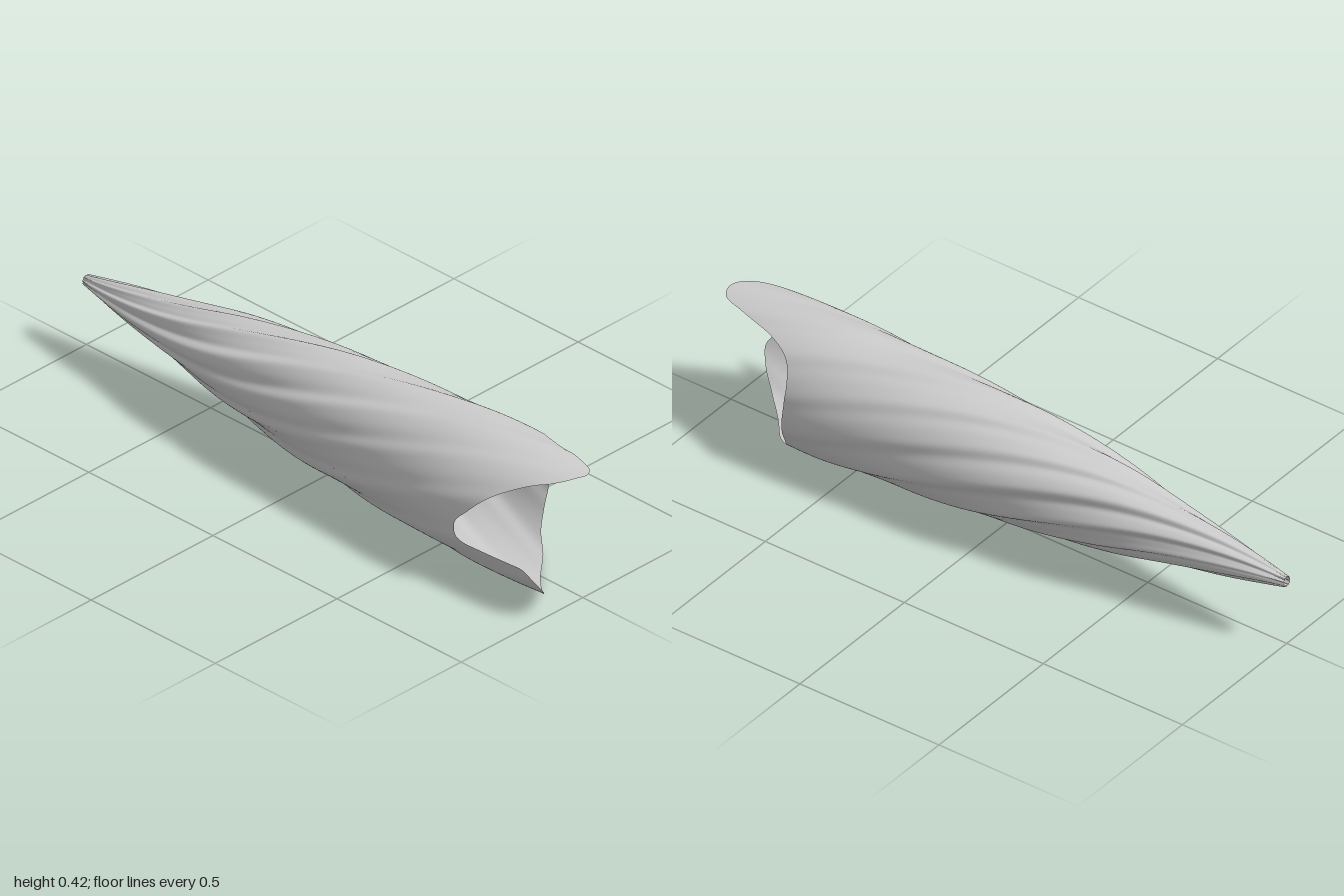
import * as THREE from 'three';

const TAU = Math.PI * 2;

// Mean radius along the axis: [z, radius]
const PROFILE = [[-1, 0.016], [-0.9, 0.035], [-0.8, 0.053], [-0.6, 0.086], [-0.4, 0.123], [-0.2, 0.151],
  [0, 0.173], [0.2, 0.187], [0.4, 0.197], [0.6, 0.207], [0.8, 0.207], [1, 0.2]];

// Torn front rim: [angle in degrees, z]
const RIM = [[0, 0.66], [25, 0.66], [45, 0.69], [58, 0.77], [68, 0.9], [76, 0.98], [87, 1], [100, 0.985], [112, 0.95],
  [122, 0.9], [145, 0.8], [165, 0.73], [180, 0.685], [191, 0.69], [197, 0.76], [197, 0.86], [196, 0.94],
  [203, 0.98], [213, 1], [230, 0.97], [248, 0.91], [270, 0.83], [290, 0.77], [310, 0.7], [335, 0.67], [360, 0.66]];

function radiusAt(z) {
  let i = 0;
  while (i < PROFILE.length - 2 && z > PROFILE[i + 1][0]) i++;
  const at = (k) => PROFILE[THREE.MathUtils.clamp(k, 0, PROFILE.length - 1)];
  const [z0, r0] = at(i), [z1, r1] = at(i + 1);
  const slope = (k) => (at(k + 1)[1] - at(k - 1)[1]) / (at(k + 1)[0] - at(k - 1)[0]);
  const h = z1 - z0, t = (z - z0) / h, t2 = t * t, t3 = t2 * t;
  return r0 * (2 * t3 - 3 * t2 + 1) + h * slope(i) * (t3 - 2 * t2 + t)
    + r1 * (3 * t2 - 2 * t3) + h * slope(i + 1) * (t3 - t2);
}

// Spiral folds, deeper towards the tip, each with one steep side
function foldedRadius(angle, z) {
  const spin = angle + 1.6 * z;
  const p = 10 * spin;
  const folds = 0.7 * Math.sin(p + 0.6 * Math.sin(p)) + 0.4 * Math.sin(3 * spin + 1) + 0.35 * Math.sin(7 * spin + 2 * z);
  const depth = THREE.MathUtils.lerp(0.1, 0.012, THREE.MathUtils.smoothstep(z, -1.2, 0.85));
  return radiusAt(z) * (1 + depth * folds);
}

// Open twisted shell lofted from the tip hole to the torn rim
function twistedShell(columns, rows) {
  const rim = new THREE.CatmullRomCurve3(
    RIM.map(([deg, z]) => new THREE.Vector3(THREE.MathUtils.degToRad(deg) * 0.2, z, 0)));
  const ring = rim.getSpacedPoints(columns).slice(0, columns);
  const positions = [], index = [];
  for (let j = 0; j <= rows; j++) {
    for (const point of ring) {
      const angle = point.x / 0.2;
      const z = THREE.MathUtils.lerp(-1, Math.min(point.y, 1), j / rows);
      const r = foldedRadius(angle, z);
      const centreY = 0.214 - 0.006 * z;
      positions.push(r * Math.cos(angle), centreY + r * Math.sin(angle), z);
    }
  }
  for (let j = 0; j < rows; j++) {
    for (let i = 0; i < columns; i++) {
      const a = j * columns + i, b = j * columns + (i + 1) % columns;
      index.push(a, b, b + columns, a, b + columns, a + columns);
    }
  }
  const geometry = new THREE.BufferGeometry();
  geometry.setAttribute('position', new THREE.Float32BufferAttribute(positions, 3));
  geometry.setIndex(index);
  geometry.computeVertexNormals();
  return geometry;
}

export function createModel() {
  const group = new THREE.Group();
  group.name = 'twistedHorn';
  const shell = new THREE.Mesh(twistedShell(TAU * 40 | 0, 110),
    new THREE.MeshStandardMaterial({ color: 0xcccccc, side: THREE.DoubleSide }));
  shell.name = 'twistedShell';
  // Rest the shell on the ground
  shell.geometry.computeBoundingBox();
  shell.position.y = -shell.geometry.boundingBox.min.y;
  group.add(shell);
  return group;
}
